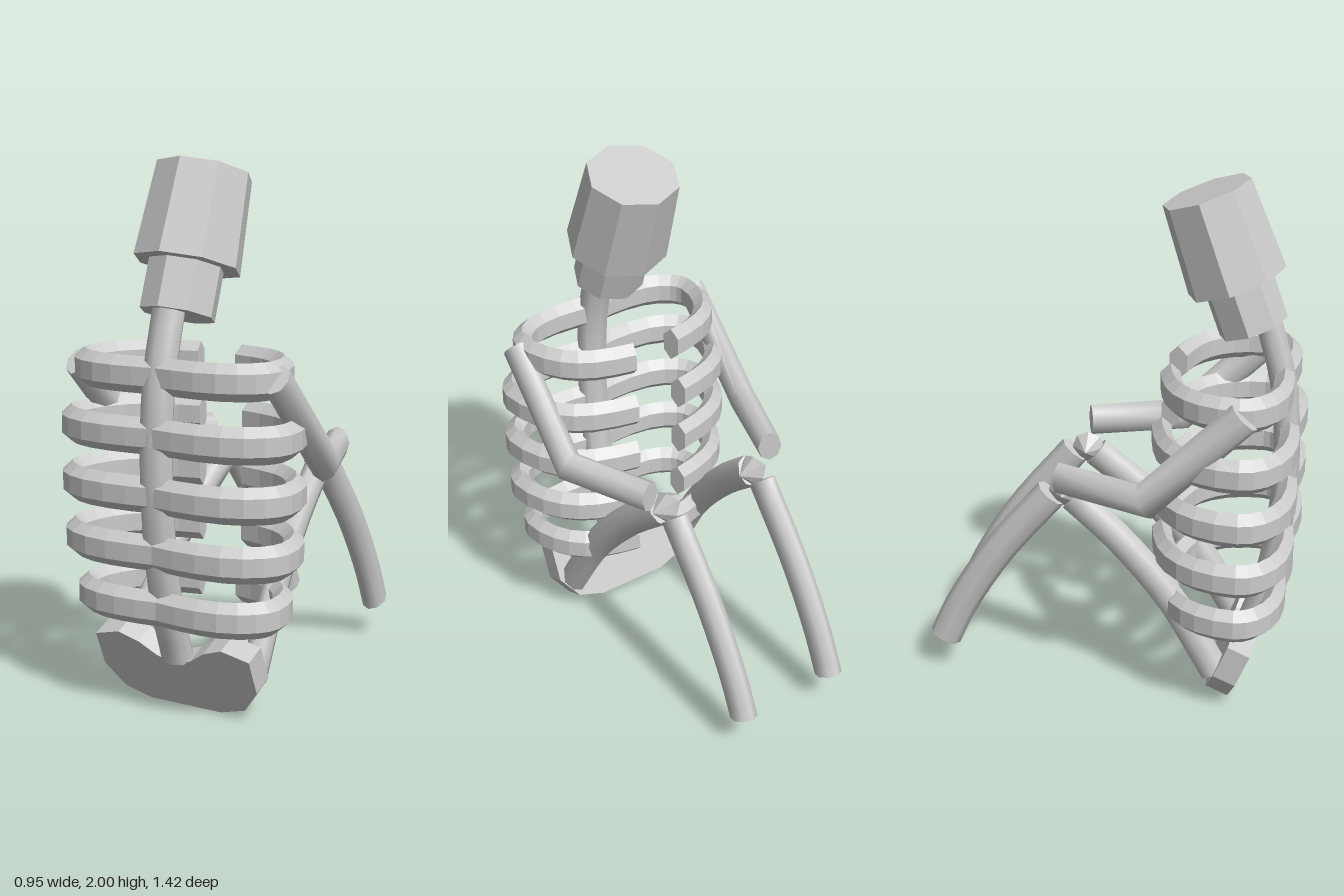
import * as THREE from 'three';
import { toCreasedNormals } from 'three/addons/utils/BufferGeometryUtils.js';

const smoothMat = new THREE.MeshStandardMaterial({ color: 0xcccccc });
const flatMat = new THREE.MeshStandardMaterial({ color: 0xcccccc, flatShading: true });
const Y = new THREE.Vector3(0, 1, 0);
const Z = new THREE.Vector3(0, 0, 1);

const path = (pts, mirror = 1) => pts.map(([x, y, z]) => new THREE.Vector3(x * mirror, y, z));
const curve = (pts, n) => new THREE.CatmullRomCurve3(pts).getPoints(n);

// Capped bone: an elliptical polygon (half sizes a sideways, b across) swept along points, mitred at bends
function bone(pts, a, b, sides, ref) {
  const pos = [], idx = [], last = pts.length - 1;
  pts.forEach((p, i) => {
    const t0 = pts[Math.max(i, 1)].clone().sub(pts[Math.max(i, 1) - 1]).normalize();
    const k = Math.min(i, last - 1);
    const t1 = pts[k + 1].clone().sub(pts[k]).normalize();
    const t = t0.clone().add(t1).normalize();
    const mitre = 1 / t.dot(t0);
    const side = ref.clone().cross(t).normalize();
    const up = t.clone().cross(side);
    for (let j = 0; j < sides; j++) {
      const ang = Math.PI / 2 + (j / sides) * Math.PI * 2;
      const v = p.clone()
        .addScaledVector(side, Math.cos(ang) * a * mitre)
        .addScaledVector(up, Math.sin(ang) * b * mitre);
      pos.push(v.x, v.y, v.z);
      const n = (j + 1) % sides, r = i * sides;
      if (i < last) idx.push(r + j, r + n, r + n + sides, r + j, r + n + sides, r + j + sides);
    }
  });
  for (let j = 1; j < sides - 1; j++) {
    const e = last * sides;
    idx.push(0, j + 1, j, e, e + j, e + j + 1);
  }
  const g = new THREE.BufferGeometry();
  g.setAttribute('position', new THREE.Float32BufferAttribute(pos, 3));
  g.setIndex(idx);
  return toCreasedNormals(g, 1.1);
}

export function createModel() {
  const model = new THREE.Group();
  const add = (name, geometry, material, parent = model) => {
    const m = new THREE.Mesh(geometry, material);
    m.name = name;
    parent.add(m);
    return m;
  };

  // Skull and jaw, tilted together
  const tilt = -0.35;
  const skull = add('skull', new THREE.CylinderGeometry(0.18, 0.2, 0.345, 8), flatMat);
  skull.position.set(0, 1.78, 0.38);
  const jaw = add('jaw', new THREE.CylinderGeometry(0.14, 0.14, 0.22, 8), flatMat);
  jaw.position.set(0, 1.553, 0.467);
  for (const m of [skull, jaw]) {
    m.rotation.x = tilt;
    m.scale.z = 0.94;
  }

  // Spine
  const spine = path([[0, 0.2, 0.52], [0, 0.4, 0.585], [0, 0.62, 0.625], [0, 0.83, 0.643],
    [0, 1.03, 0.643], [0, 1.25, 0.62], [0, 1.5, 0.55]]);
  add('spine', bone(curve(spine, 16), 0.065, 0.05, 8, Z), smoothMat);

  // Rib cage: five pairs of open hoops
  const ribs = new THREE.Group();
  ribs.name = 'ribCage';
  model.add(ribs);
  const hoop = [[0, 0.65], [0.17, 0.667], [0.32, 0.645], [0.41, 0.585], [0.438, 0.52],
    [0.415, 0.39], [0.35, 0.29], [0.25, 0.225], [0.1, 0.185]];
  [[1.25, 0.88], [1.04, 1], [0.83, 1], [0.62, 0.98], [0.41, 0.88]].forEach(([y, s]) => {
    for (const m of [1, -1]) {
      const pts = path(hoop.map(([x, z]) => [x * s, y, 0.43 + (z - 0.43) * s]), m);
      add(m > 0 ? 'leftRib' : 'rightRib', bone(curve(pts, 14), 0.042, 0.066, 6, Y), flatMat, ribs);
    }
  });

  // Pelvis: tilted plate with a notch for the spine
  const half = [[0.15, 0], [0.26, 0.035], [0.33, 0.13], [0.33, 0.27], [0.22, 0.3], [0.14, 0.27], [0.07, 0.22]];
  const outline = [...half, [0, 0.195], ...half.slice().reverse().map(([x, y]) => [-x, y])];
  const plate = new THREE.Shape(outline.map(([x, y]) => new THREE.Vector2(x, y)));
  const pelvisGeo = new THREE.ExtrudeGeometry(plate, { depth: 0.09, bevelEnabled: false });
  pelvisGeo.translate(0, 0, -0.09);
  const pelvis = add('pelvis', pelvisGeo, flatMat);
  pelvis.rotation.x = 0.39;
  pelvis.position.set(0, 0, 0.466);

  // Arms and legs, mirrored
  const arm = [[0.416, 1.26, 0.53], [0.416, 0.905, 0.18], [0.283, 0.905, -0.165]];
  const thigh = [[0.265, 0.14, 0.43], [0.25, 0.43, 0.25], [0.23, 0.65, 0.05], [0.213, 0.8, -0.13]];
  const shin = [[0.208, 0.805, -0.215], [0.208, 0.54, -0.43], [0.208, 0.3, -0.58], [0.208, 0.14, -0.655]];
  for (const m of [1, -1]) {
    const side = m > 0 ? 'left' : 'right';
    add(side + 'Arm', bone(path(arm, m), 0.047, 0.063, 8, Y), smoothMat);
    add(side + 'Thigh', bone(curve(path(thigh, m), 10), 0.047, 0.063, 8, Y), smoothMat);
    add(side + 'Shin', bone(curve(path(shin, m), 10), 0.047, 0.063, 8, Y), smoothMat);
    const knee = add(side + 'Knee', new THREE.SphereGeometry(0.065, 8, 2), flatMat);
    knee.rotation.z = Math.PI / 2;
    knee.position.set(0.206 * m, 0.82, -0.16);
  }
  return model;
}
